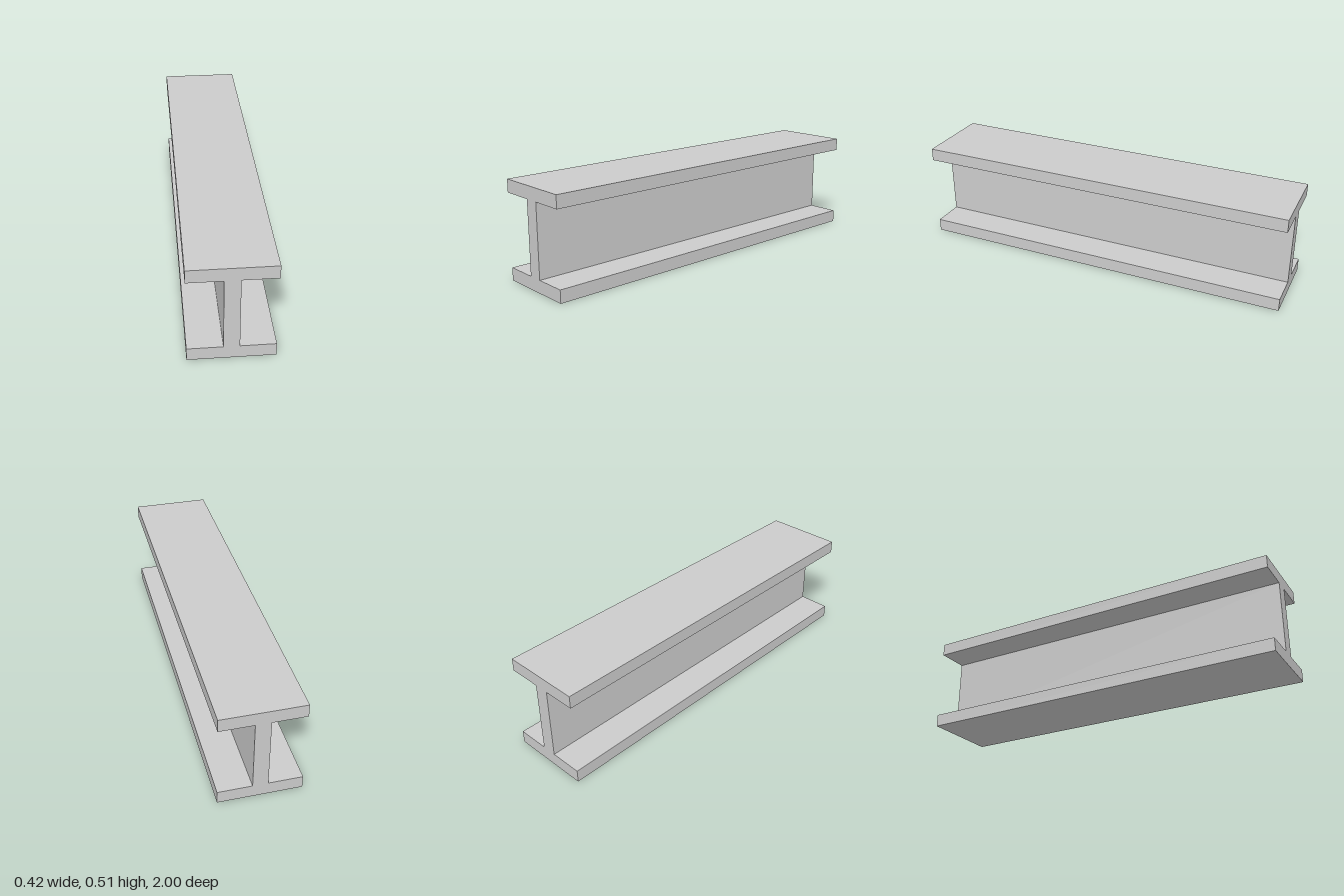
import * as THREE from 'three';

const LENGTH = 2;
const HEIGHT = 0.513;
const FLANGE = 0.067; // flange thickness
const HALF_WIDTH = 0.208;
const HALF_WEB = 0.038;

export function createModel() {
  const model = new THREE.Group();
  model.name = 'iBeam';

  // Right half of the I-shaped section, bottom to top, then mirrored
  const half = [
    [HALF_WIDTH, 0],
    [HALF_WIDTH, FLANGE],
    [HALF_WEB, FLANGE],
    [HALF_WEB, HEIGHT - FLANGE],
    [HALF_WIDTH, HEIGHT - FLANGE],
    [HALF_WIDTH, HEIGHT],
  ];
  const mirrored = half.map(([x, y]) => [-x, y]).reverse();
  const section = new THREE.Shape([...half, ...mirrored].map(([x, y]) => new THREE.Vector2(x, y)));

  // Flanges and web as one solid, extruded along z
  const geometry = new THREE.ExtrudeGeometry(section, { depth: LENGTH, bevelEnabled: false });
  geometry.translate(0, 0, -LENGTH / 2);

  const beam = new THREE.Mesh(geometry, new THREE.MeshStandardMaterial({ color: 0xcccccc }));
  beam.name = 'beam';
  model.add(beam);
  return model;
}
